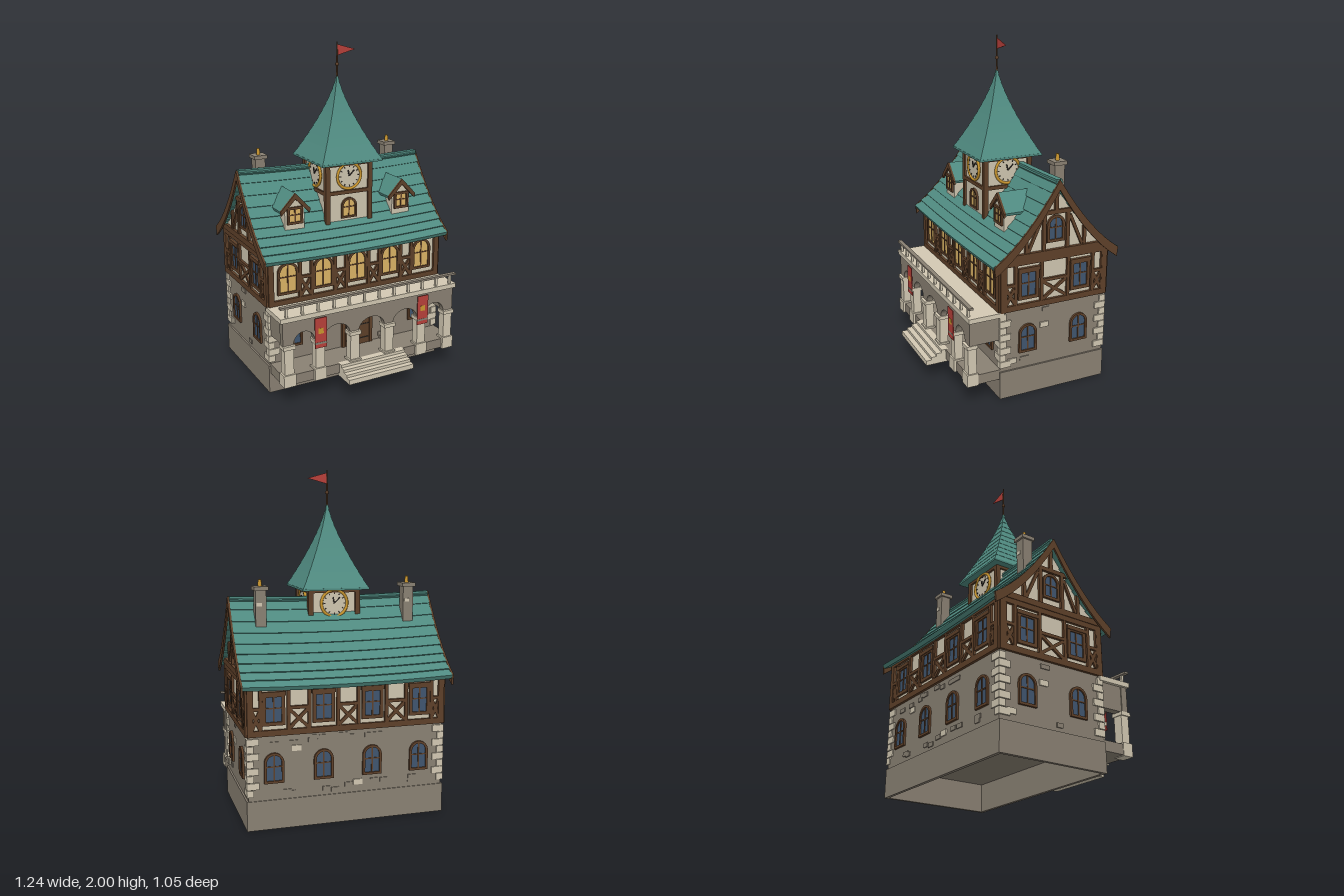
import * as THREE from 'three';
import { mergeGeometries } from 'three/addons/utils/BufferGeometryUtils.js';

const paint = (name, color) => Object.assign(new THREE.MeshStandardMaterial({ color }), { name });
const stone = paint('stone', 0x8a8173), pale = paint('paleStone', 0xd3c9b3), plaster = paint('plaster', 0xcfc6b0),
  teal = paint('roofTile', 0x508b81), wood = paint('timber', 0x5e4029), gold = paint('gold', 0xcb972f),
  glow = paint('litGlass', 0xdcb566), glass = paint('blueGlass', 0x40566f), red = paint('redCloth', 0xb8403a),
  dark = paint('iron', 0x2f2a26);

const CZ = -0.1225;                 // house centre in z
const HALF_X = 0.575, HALF_Z = 0.3375;
const EAVE = 0.395;                 // ridge to eave, horizontally
const roofY = d => 1.275 - 1.61 * d + 1.2 * d * d;

function add(parent, name, geo, mat, x = 0, y = 0, z = 0) {
  const m = new THREE.Mesh(geo, mat);
  m.name = name;
  m.position.set(x, y, z);
  parent.add(m);
  return m;
}
const box = (p, name, mat, w, h, d, x, y, z) => add(p, name, new THREE.BoxGeometry(w, h, d), mat, x, y, z);
function group(parent, name, x = 0, y = 0, z = 0, ry = 0) {
  const g = new THREE.Group();
  g.name = name;
  g.position.set(x, y, z);
  g.rotation.y = ry;
  parent.add(g);
  return g;
}
// Straight timber between two points on a wall plane
function beam(p, name, mat, x1, y1, x2, y2, w, z, t = 0.015) {
  const m = box(p, name, mat, Math.hypot(x2 - x1, y2 - y1), w, t, (x1 + x2) / 2, (y1 + y2) / 2, z + t / 2);
  m.rotation.z = Math.atan2(y2 - y1, x2 - x1);
}
const extrude = (shape, depth) => new THREE.ExtrudeGeometry(shape, { depth, bevelEnabled: false, curveSegments: 10 });
const poly = pts => new THREE.Shape(pts.map(p => new THREE.Vector2(...p)));

// Arched (or flat, rise 0) opening outline standing on y = base
function opening(w, h, rise, base = 0) {
  const s = new THREE.Shape(), top = base + h - rise;
  s.moveTo(-w / 2, base);
  s.lineTo(w / 2, base);
  s.lineTo(w / 2, top);
  if (rise > 0) s.absellipse(0, top, w / 2, rise, 0, Math.PI, false);
  else s.lineTo(-w / 2, top);
  s.closePath();
  return s;
}
function windowUnit(p, x, y, z, w, h, rise, pane, rim = 0.016) {
  const g = group(p, 'window', x, y, z);
  const frame = opening(w + 2 * rim, h + 2 * rim, rise ? rise + rim : 0, -rim);
  frame.holes.push(opening(w, h, rise));
  add(g, 'windowFrame', extrude(frame, 0.013), wood);
  add(g, 'windowPane', extrude(opening(w, h, rise), 0.005), pane);
  box(g, 'mullion', wood, 0.008, h, 0.006, 0, h / 2, 0.006);
  box(g, 'glazingBar', wood, w, 0.007, 0.006, 0, h * 0.55, 0.006);
}
const groundWindow = (p, x, z) => windowUnit(p, x, 0.282, z, 0.086, 0.146, 0.043, glass, 0.014);
// Half-timbered wall: sill, head, corner posts, windows and crossed braces
function timberWall(p, z, half, windows, braces, lit) {
  beam(p, 'sillBeam', wood, -half, 0.557, half, 0.557, 0.034, z, 0.016);
  beam(p, 'headBeam', wood, -half, 0.825, half, 0.825, 0.034, z, 0.016);
  for (const s of [-1, 1]) beam(p, 'cornerPost', wood, s * (half - 0.012), 0.54, s * (half - 0.012), 0.84, 0.034, z, 0.016);
  for (const x of windows) {
    if (lit) windowUnit(p, x, 0.618, z, 0.102, 0.165, 0.051, glow, 0.015);
    else {
      windowUnit(p, x, 0.618, z, 0.088, 0.14, 0, glass, 0.02);
      box(p, 'windowHead', wood, 0.136, 0.022, 0.018, x, 0.778, z + 0.009);
    }
  }
  for (const [c, w] of braces) {
    for (const s of [-1, 1]) {
      beam(p, 'post', wood, c + s * w, 0.56, c + s * w, 0.82, 0.019, z);
      beam(p, 'brace', wood, c - s * w, 0.572, c + s * w, 0.69, 0.019, z, 0.012);
    }
    beam(p, 'rail', wood, c - w, 0.694, c + w, 0.694, 0.018, z);
  }
}
let seed = 7;
const rand = () => (seed = (seed * 16807) % 2147483647) / 2147483647;
function looseStones(p, z, half, n, paleSpots = []) {
  for (let i = 0; i < n; i++)
    box(p, 'wallStone', stone, 0.035 + rand() * 0.025, 0.025, 0.012,
      (rand() * 2 - 1) * (half - 0.1), (i % 2 ? 0.19 : 0.475) + rand() * 0.045, z);
  for (const [x, y] of paleSpots) box(p, 'paleWallStone', pale, 0.054, 0.032, 0.014, x, y, z);
}

function buildBody(root) {
  // Open-bottomed plinth and stone ground floor
  const ring = opening(1.17, 0.685, 0, -0.3425);
  ring.holes.push(opening(1.13, 0.645, 0, -0.3225));
  add(root, 'plinth', extrude(ring, 0.17).rotateX(-Math.PI / 2), stone, 0, 0, CZ);
  box(root, 'groundFloor', stone, 1.15, 0.37, 0.675, 0, 0.355, CZ);
  for (const sx of [-1, 1]) for (const sz of [-1, 1]) for (let i = 0; i < 8; i++) {
    const a = i % 2 ? 0.07 : 0.04, b = i % 2 ? 0.04 : 0.07;
    box(root, 'quoin', pale, a, 0.038, b, sx * (0.585 - a / 2), 0.215 + i * 0.042, CZ + sz * (0.345 - b / 2));
  }
  // Plaster storey and gables in one cross-section
  const pts = [[-HALF_Z, 0.54], [HALF_Z, 0.54]];
  for (let i = 6; i >= -6; i--) pts.push([HALF_Z * i / 6, roofY(Math.abs(HALF_Z * i / 6)) - 0.025]);
  const walls = add(root, 'upperWalls', extrude(poly(pts), 1.15).translate(0, 0, -HALF_X), plaster, 0, 0, CZ);
  walls.rotation.y = Math.PI / 2;

  const front = group(root, 'frontWall', 0, 0, CZ);
  timberWall(front, HALF_Z, HALF_X, [-0.455, -0.2275, 0, 0.2275, 0.455], [[-0.341, 0.038], [-0.114, 0.038], [0.114, 0.038], [0.341, 0.038]], true);
  looseStones(front, HALF_Z, HALF_X, 6, [[-0.24, 0.235], [0.21, 0.275], [-0.48, 0.22]]);
  for (const x of [-0.425, 0.425]) groundWindow(front, x, HALF_Z);

  const back = group(root, 'backWall', 0, 0, CZ, Math.PI);
  timberWall(back, HALF_Z, HALF_X, [-0.43, -0.144, 0.144, 0.43], [[-0.287, 0.06], [0, 0.06], [0.287, 0.06], [-0.53, 0.026], [0.53, 0.026]], false);
  looseStones(back, HALF_Z, HALF_X, 18, [[-0.3, 0.46], [0.06, 0.23]]);
  for (const x of [-0.43, -0.144, 0.144, 0.43]) groundWindow(back, x, HALF_Z);

  for (const s of [-1, 1]) {
    const side = group(root, s > 0 ? 'leftGable' : 'rightGable', 0, 0, CZ, s * Math.PI / 2);
    timberWall(side, HALF_X, HALF_Z, [-0.167, 0.167], [[0, 0.085], [-0.28, 0.032], [0.28, 0.032]], false);
    looseStones(side, HALF_X, HALF_Z, 2, [[-0.06, 0.415], [-0.265, 0.225]]);
    for (const x of [-0.167, 0.167]) groundWindow(side, x, HALF_X);
    // Gable framing
    windowUnit(side, 0, 0.93, HALF_X, 0.08, 0.125, 0.04, glass);
    beam(side, 'tieBeam', wood, -0.33, 0.855, 0.33, 0.855, 0.035, HALF_X, 0.02);
    beam(side, 'collarBeam', wood, -0.11, 1.09, 0.11, 1.09, 0.024, HALF_X);
    beam(side, 'kingPost', wood, 0, 1.09, 0, 1.24, 0.022, HALF_X);
    for (const m of [-1, 1]) {
      beam(side, 'gablePost', wood, m * 0.075, 0.86, m * 0.075, 1.1, 0.022, HALF_X);
      beam(side, 'gableStud', wood, m * 0.185, 0.86, m * 0.185, 0.99, 0.02, HALF_X);
      beam(side, 'gableBrace', wood, m * 0.175, 0.87, m * 0.09, 1.06, 0.018, HALF_X, 0.012);
    }
    // Bargeboards follow the roof curve just outside the tiles
    const edge = [];
    for (let i = -8; i <= 8; i++) edge.push([EAVE * i / 8, roofY(Math.abs(EAVE * i / 8)) + 0.006]);
    const low = edge.map(([u, y]) => [u * 0.985, y - 0.058]).reverse();
    add(side, 'bargeboard', extrude(poly([...edge, ...low]), 0.012), wood, 0, 0, 0.608);
  }
}

function buildRoof(root) {
  // Overlapping tile courses with a sagging ridge
  const courses = [], N = 9;
  for (const s of [-1, 1]) for (let i = 0; i < N; i++) {
    const a = EAVE * i / N, b = EAVE * (i + 1) / N;
    const drop = roofY(a) - roofY(b) - 0.009, len = Math.hypot(drop, b - a) + 0.012;
    const g = new THREE.BoxGeometry(1.218, 0.026, len, 8).translate(0, -0.013, 0);
    g.rotateX(s * Math.atan2(drop, b - a));
    courses.push(g.translate(0, (roofY(a) + roofY(b)) / 2 + 0.005, s * (a + b) / 2));
  }
  courses.push(new THREE.BoxGeometry(1.218, 0.02, 0.035, 8).translate(0, 1.272, 0));
  const roof = mergeGeometries(courses), pos = roof.attributes.position;
  for (let i = 0; i < pos.count; i++) pos.setY(i, pos.getY(i) - 0.013 * (1 - (pos.getX(i) / 0.609) ** 2));
  add(root, 'mainRoof', roof, teal, 0, 0, CZ);

  // Bent slab over a dormer, t thick
  const chevron = t => poly([[-0.095, 1.072], [-0.09, 1.072 - t], [0, 1.172 - t * 1.35], [0.09, 1.072 - t], [0.095, 1.072], [0, 1.172]]);
  for (const s of [-1, 1]) {
    const c = group(root, 'chimney', s * 0.445, 0, -0.2);
    box(c, 'chimneyStack', stone, 0.062, 0.3, 0.062, 0, 1.18, 0);
    box(c, 'chimneyCap', stone, 0.084, 0.022, 0.084, 0, 1.332, 0);
    box(c, 'chimneyBrick', pale, 0.03, 0.02, 0.068, 0.01, 1.24, 0);
    add(c, 'chimneyPot', new THREE.CylinderGeometry(0.009, 0.013, 0.04, 8), gold, 0, 1.361, 0);

    const d = group(root, 'dormer', s * 0.36, 0, 0);
    add(d, 'dormerBody', extrude(poly([[-0.062, 0.94], [0.062, 0.94], [0.062, 1.08], [0, 1.15], [-0.062, 1.08]]), 0.17), plaster, 0, 0, -0.05);
    windowUnit(d, 0, 1.0, 0.12, 0.07, 0.075, 0, glow, 0.014);
    add(d, 'dormerRoof', extrude(chevron(0.016), 0.19), teal, 0, 0, -0.065);
    add(d, 'dormerBargeboard', extrude(chevron(0.026), 0.013), wood, 0, 0, 0.125);
  }
}

function buildTower(root) {
  const t = group(root, 'clockTower', 0, 0, -0.035);
  box(t, 'towerWalls', plaster, 0.29, 0.42, 0.29, 0, 1.1, 0);
  for (let k = 0; k < 4; k++) {
    const f = group(t, 'towerFace', 0, 0, 0, k * Math.PI / 2), z = 0.145;
    for (const m of [-1, 1]) beam(f, 'towerPost', wood, m * 0.142, 0.93, m * 0.142, 1.31, 0.028, z, 0.012);
    beam(f, 'towerBeam', wood, -0.15, 1.132, 0.15, 1.132, 0.022, z, 0.012);
    beam(f, 'towerHead', wood, -0.15, 1.302, 0.15, 1.302, 0.02, z, 0.012);
    add(f, 'clockFace', new THREE.CylinderGeometry(0.078, 0.078, 0.009, 28).rotateX(Math.PI / 2), plaster, 0, 1.23, z + 0.004);
    add(f, 'clockRim', new THREE.TorusGeometry(0.078, 0.009, 6, 32), gold, 0, 1.23, z + 0.008);
    for (let i = 0; i < 12; i++) {
      const c = Math.cos(i * Math.PI / 6), s = Math.sin(i * Math.PI / 6);
      beam(f, 'hourMark', dark, 0.055 * c, 1.23 + 0.055 * s, 0.065 * c, 1.23 + 0.065 * s, 0.005, z + 0.008, 0.004);
    }
    beam(f, 'minuteHand', dark, 0, 1.23, 0.034, 1.264, 0.006, z + 0.008, 0.005);
    beam(f, 'hourHand', dark, 0, 1.23, -0.008, 1.265, 0.008, z + 0.008, 0.005);
    if (k === 0) windowUnit(f, 0, 0.985, z, 0.08, 0.1, 0.04, glow, 0.012);
  }
  // Four-sided concave spire in stepped courses
  const half = k => 0.196 * (1 - k) ** 1.4, N = 11, parts = [];
  for (let i = 0; i < N; i++) {
    const h = 0.5 / N, r = Math.SQRT2;
    parts.push(new THREE.CylinderGeometry(half((i + 1) / N) * r + 0.001, (half(i / N) + 0.003) * r, h, 4).rotateY(Math.PI / 4).translate(0, 1.32 + (i + 0.5) * h, 0));
  }
  const spire = mergeGeometries(parts).toNonIndexed();
  spire.computeVertexNormals();
  add(t, 'spire', spire, teal);
  box(t, 'spireEave', teal, 0.4, 0.012, 0.4, 0, 1.315, 0);
  add(t, 'flagPole', new THREE.CylinderGeometry(0.004, 0.006, 0.21, 8), wood, 0, 1.895, 0);
  add(t, 'poleKnob', new THREE.SphereGeometry(0.011, 10, 8), wood, 0, 1.87, 0);
  add(t, 'flag', extrude(poly([[0, 1.92], [0.12, 1.952], [0, 1.985]]), 0.004), red, 0, 0, -0.002);
}

function buildPorch(root) {
  const p = group(root, 'porch');
  box(p, 'porchFloor', stone, 1.15, 0.06, 0.2, 0, 0.155, 0.305);
  for (let i = 0; i < 4; i++) {
    const z = 0.53 - i * 0.033, top = 0.135 + i * 0.017;
    box(p, 'step', pale, 0.436, top - 0.105, z - 0.39, 0, (top + 0.105) / 2, (z + 0.39) / 2);
  }
  const cols = [-0.54, -0.345, -0.117, 0.117, 0.345, 0.54];
  // Arcade: wall with an arch cut between each pair of pillars
  const s = new THREE.Shape();
  s.moveTo(-0.575, 0.52);
  s.lineTo(-0.575, 0.37);
  for (let i = 0; i < 5; i++) {
    const a = cols[i] + 0.03, b = cols[i + 1] - 0.03;
    s.lineTo(a, 0.37);
    s.absellipse((a + b) / 2, 0.37, (b - a) / 2, 0.07, Math.PI, 0, true);
  }
  s.lineTo(0.575, 0.37);
  s.lineTo(0.575, 0.52);
  add(p, 'arcade', extrude(s, 0.04), stone, 0, 0, 0.364);
  for (const x of cols) {
    box(p, 'pillarBase', pale, 0.076, 0.075, 0.066, x, 0.158, 0.387);
    box(p, 'pillarShaft', pale, 0.058, 0.16, 0.052, x, 0.275, 0.385);
    box(p, 'pillarCapital', pale, 0.076, 0.022, 0.066, x, 0.362, 0.387);
  }
  for (const m of [-1, 1]) {
    box(p, 'sideLintel', stone, 0.05, 0.15, 0.16, m * 0.545, 0.445, 0.29);
    // Hanging banners
    const b = group(p, 'banner', m * 0.345, 0, 0.421);
    box(b, 'bannerCloth', red, 0.076, 0.185, 0.005, 0, 0.418, 0);
    box(b, 'bannerStripe', stone, 0.076, 0.012, 0.003, 0, 0.355, 0.002);
    box(b, 'bannerPatch', gold, 0.032, 0.034, 0.003, 0, 0.43, 0.002);
  }
  // Balcony deck and front rail
  box(p, 'balconyDeck', pale, 1.18, 0.028, 0.215, 0, 0.53, 0.306);
  box(p, 'handrail', stone, 1.18, 0.012, 0.026, 0, 0.604, 0.4);
  for (let i = 0; i <= 11; i++)
    box(p, 'baluster', pale, 0.014, 0.058, 0.014, -0.55 + i * 0.1, 0.572, 0.4);
  // Double door under a timber arch
  const d = group(p, 'door', 0, 0.185, 0.215);
  const frame = opening(0.21, 0.255, 0.09);
  frame.holes.push(opening(0.17, 0.235, 0.075));
  add(d, 'doorFrame', extrude(frame, 0.015), wood);
  add(d, 'doorArchPanel', extrude(opening(0.17, 0.235, 0.075), 0.008), wood);
  box(d, 'transomLight', glass, 0.17, 0.012, 0.006, 0, 0.178, 0.01);
  for (const m of [-1, 1]) {
    box(d, 'doorLeaf', wood, 0.08, 0.165, 0.012, m * 0.042, 0.084, 0.01);
    box(d, 'doorHandle', gold, 0.008, 0.016, 0.008, m * 0.012, 0.09, 0.018);
    for (const y of [0.04, 0.13]) box(d, 'doorStrap', dark, 0.07, 0.006, 0.004, m * 0.045, y, 0.017);
  }
}

export function createModel() {
  const root = new THREE.Group();
  root.name = 'townHall';
  buildBody(root);
  buildRoof(root);
  buildTower(root);
  buildPorch(root);
  return root;
}
